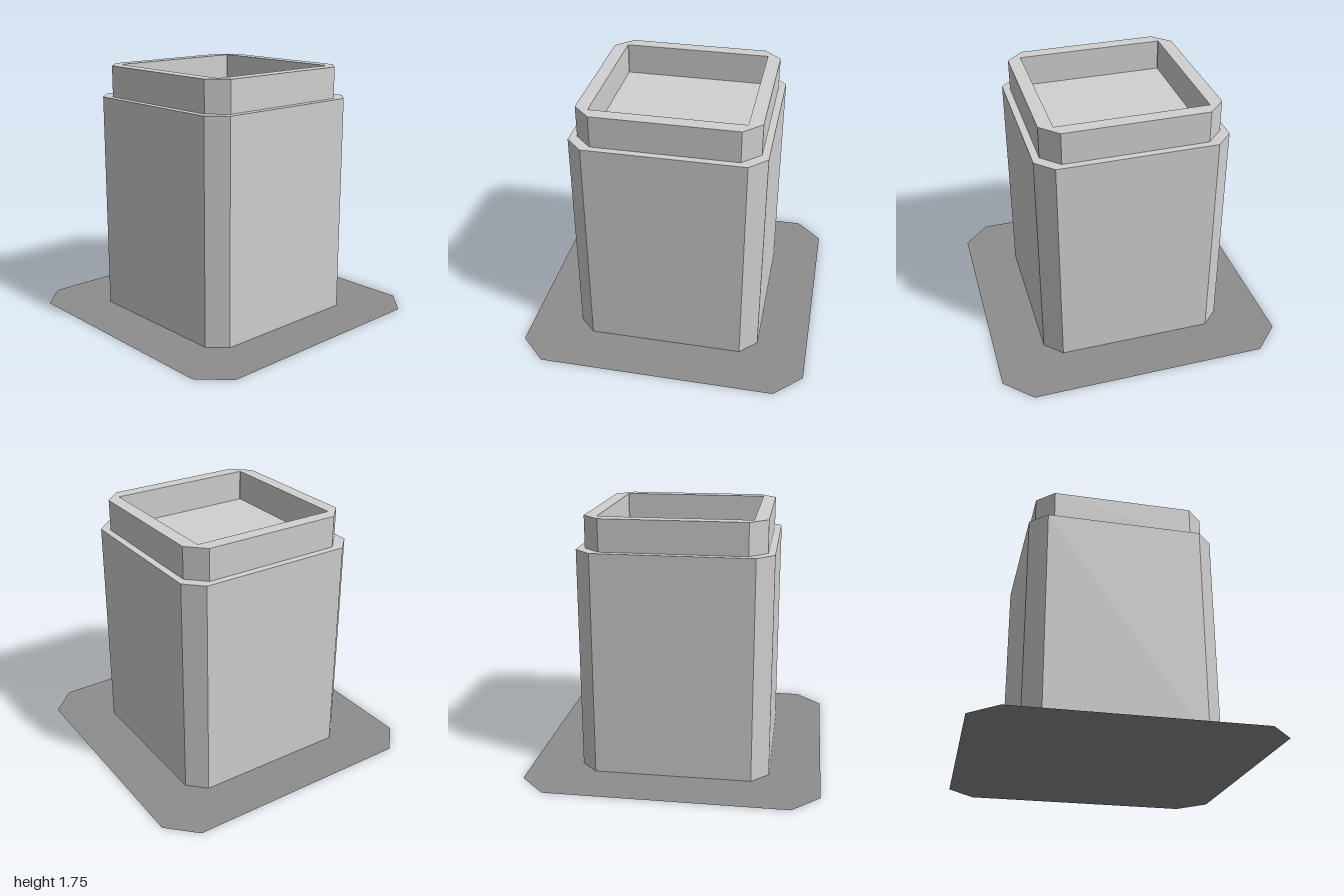
import * as THREE from 'three';

// Square outline of half-width h whose corners are cut off by c
function chamferedSquare(h, c) {
  const f = h - c;
  return new THREE.Shape([
    [f, -h], [h, -f], [h, f], [f, h], [-f, h], [-h, f], [-h, -f], [-f, -h],
  ].map(([x, y]) => new THREE.Vector2(x, y)));
}

// Upright prism standing between y0 and y1
function prism(shape, y0, y1) {
  return new THREE.ExtrudeGeometry(shape, { depth: y1 - y0, bevelEnabled: false })
    .rotateX(-Math.PI / 2)
    .translate(0, y0, 0);
}

export function createModel() {
  const stone = new THREE.MeshStandardMaterial({ color: 0xd0d0d0 });
  stone.name = 'lightGrey';
  const ground = new THREE.MeshStandardMaterial({ color: 0x8d8d8d, side: THREE.DoubleSide });
  ground.name = 'darkGrey';

  const model = new THREE.Group();
  model.name = 'chamferedBlock';
  const add = (name, geometry, material) => {
    const mesh = new THREE.Mesh(geometry, material);
    mesh.name = name;
    model.add(mesh);
  };

  // Flat ground sheet
  add('basePlate', new THREE.ShapeGeometry(chamferedSquare(1, 0.185)).rotateX(-Math.PI / 2), ground);

  // Main block, lifted a hair off the sheet; its top is also the floor of the recess
  add('body', prism(chamferedSquare(0.65, 0.115), 0.002, 1.535), stone);

  // Raised rim around a square recess
  const rim = chamferedSquare(0.602, 0.117);
  rim.holes.push(chamferedSquare(0.51, 0.003));
  add('rim', prism(rim, 1.535, 1.752), stone);

  return model;
}
